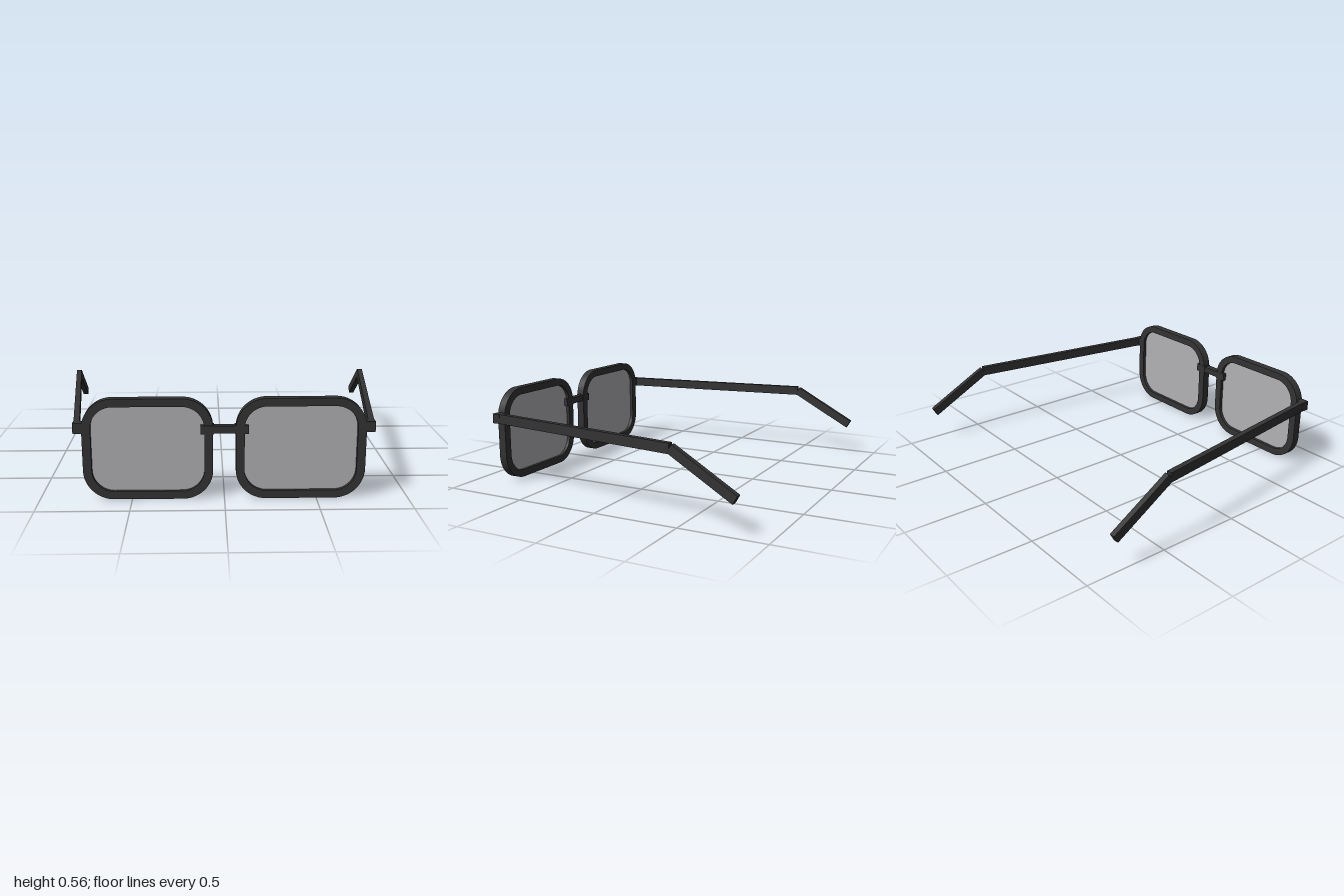
import * as THREE from 'three';
import { toCreasedNormals } from 'three/addons/utils/BufferGeometryUtils.js';

const frameMat = new THREE.MeshStandardMaterial({ color: 0x333333 });
frameMat.name = 'dark frame';
const lensMat = new THREE.MeshStandardMaterial({ color: 0xb2b2b6 });
lensMat.name = 'grey lens';

const FRONT = 0.834, BACK = 0.785, MID = (FRONT + BACK) / 2;

// Rounded rectangle centred on the origin, drawn on a Shape or Path
function roundedRect(path, w, h, r) {
  const x = w / 2 - r, y = h / 2 - r;
  path.moveTo(x, -y - r);
  path.absarc(x, -y, r, -Math.PI / 2, 0);
  path.absarc(x, y, r, 0, Math.PI / 2);
  path.absarc(-x, y, r, Math.PI / 2, Math.PI);
  path.absarc(-x, -y, r, Math.PI, Math.PI * 1.5);
  path.closePath();
  return path;
}

function extrude(shape, depth) {
  const geo = new THREE.ExtrudeGeometry(shape, { depth, bevelEnabled: false, curveSegments: 10 });
  return toCreasedNormals(geo.translate(0, 0, -depth / 2), 0.6);
}

function add(parent, name, geo, mat, x, y, z) {
  const mesh = new THREE.Mesh(geo, mat);
  mesh.name = name;
  mesh.position.set(x, y, z);
  parent.add(mesh);
  return mesh;
}

// Square-cut bar running from a to b
function bar(parent, name, a, b, w, h) {
  const mid = a.clone().add(b).multiplyScalar(0.5);
  const geo = new THREE.BoxGeometry(w, h, a.distanceTo(b));
  add(parent, name, geo, frameMat, mid.x, mid.y, mid.z).lookAt(b);
}

export function createModel() {
  const model = new THREE.Group();
  model.name = 'glasses';

  // Rim and lens profiles
  const rim = roundedRect(new THREE.Shape(), 0.7, 0.562, 0.165);
  rim.holes.push(roundedRect(new THREE.Path(), 0.606, 0.474, 0.12));
  const rimGeo = extrude(rim, FRONT - BACK);
  const lensGeo = extrude(roundedRect(new THREE.Shape(), 0.616, 0.484, 0.125), 0.008);

  for (const s of [1, -1]) {
    const side = new THREE.Group();
    side.name = s > 0 ? 'leftSide' : 'rightSide';
    model.add(side);

    add(side, 'rim', rimGeo, frameMat, s * 0.411, 0.281, MID);
    add(side, 'lens', lensGeo, lensMat, s * 0.411, 0.281, MID);

    // Bridge clamp wrapping the inner edge of the rim
    add(side, 'bridgeClamp', new THREE.BoxGeometry(0.072, 0.048, 0.052), frameMat, s * 0.093, 0.39, MID);

    // Hinge block and two-piece temple arm
    add(side, 'hinge', new THREE.BoxGeometry(0.075, 0.057, 0.048), frameMat, s * 0.77, 0.402, MID);
    const start = new THREE.Vector3(s * 0.788, 0.402, 0.8);
    const bend = new THREE.Vector3(s * 0.963, 0.402, -0.445);
    const tip = new THREE.Vector3(s * 0.982, 0.191, -0.818);
    bar(side, 'templeArm', start, bend, 0.032, 0.057);
    bar(side, 'earTip', bend, tip, 0.032, 0.053);
  }

  // Bridge between the rims
  add(model, 'bridge', new THREE.BoxGeometry(0.13, 0.04, 0.044), frameMat, 0, 0.39, MID);
  return model;
}
